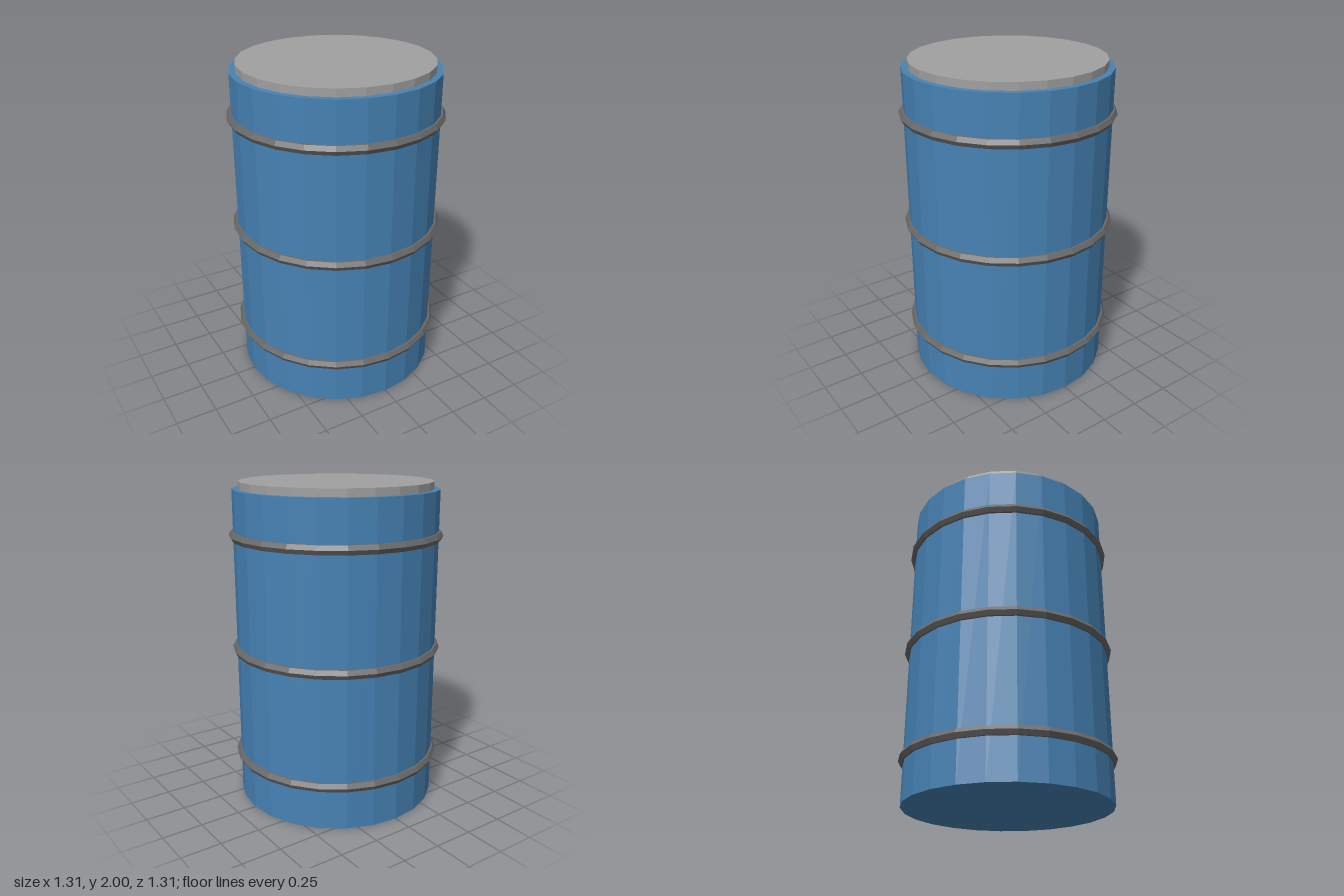
import * as THREE from 'three';

const SIDES = 24;
const BODY_RADIUS = 0.628;
const BODY_HEIGHT = 1.954;

function flatMaterial(color) {
  return new THREE.MeshStandardMaterial({ color, flatShading: true });
}

export function createModel() {
  const barrel = new THREE.Group();
  barrel.name = 'barrel';

  const add = (name, geometry, material, y) => {
    const mesh = new THREE.Mesh(geometry, material);
    mesh.name = name;
    mesh.position.y = y;
    barrel.add(mesh);
  };

  // Closed drum standing on the ground
  add('body', new THREE.CylinderGeometry(BODY_RADIUS, BODY_RADIUS, BODY_HEIGHT, SIDES),
    flatMaterial(0x4682b4), BODY_HEIGHT / 2);

  // Slightly narrower lid, sunk a little into the body
  const lidHeight = 0.09;
  add('lid', new THREE.CylinderGeometry(0.59, 0.59, lidHeight, SIDES),
    flatMaterial(0xa0a0a0), 2 - lidHeight / 2);

  // Three hoops with a six-sided section
  const hoop = new THREE.TorusGeometry(0.625, 0.0314, 6, SIDES).rotateX(Math.PI / 2);
  const hoopMaterial = flatMaterial(0x696969);
  ['lowerHoop', 'middleHoop', 'upperHoop'].forEach((name, i) => {
    add(name, hoop, hoopMaterial, BODY_HEIGHT / 2 + (i - 1) * 0.703);
  });

  return barrel;
}
